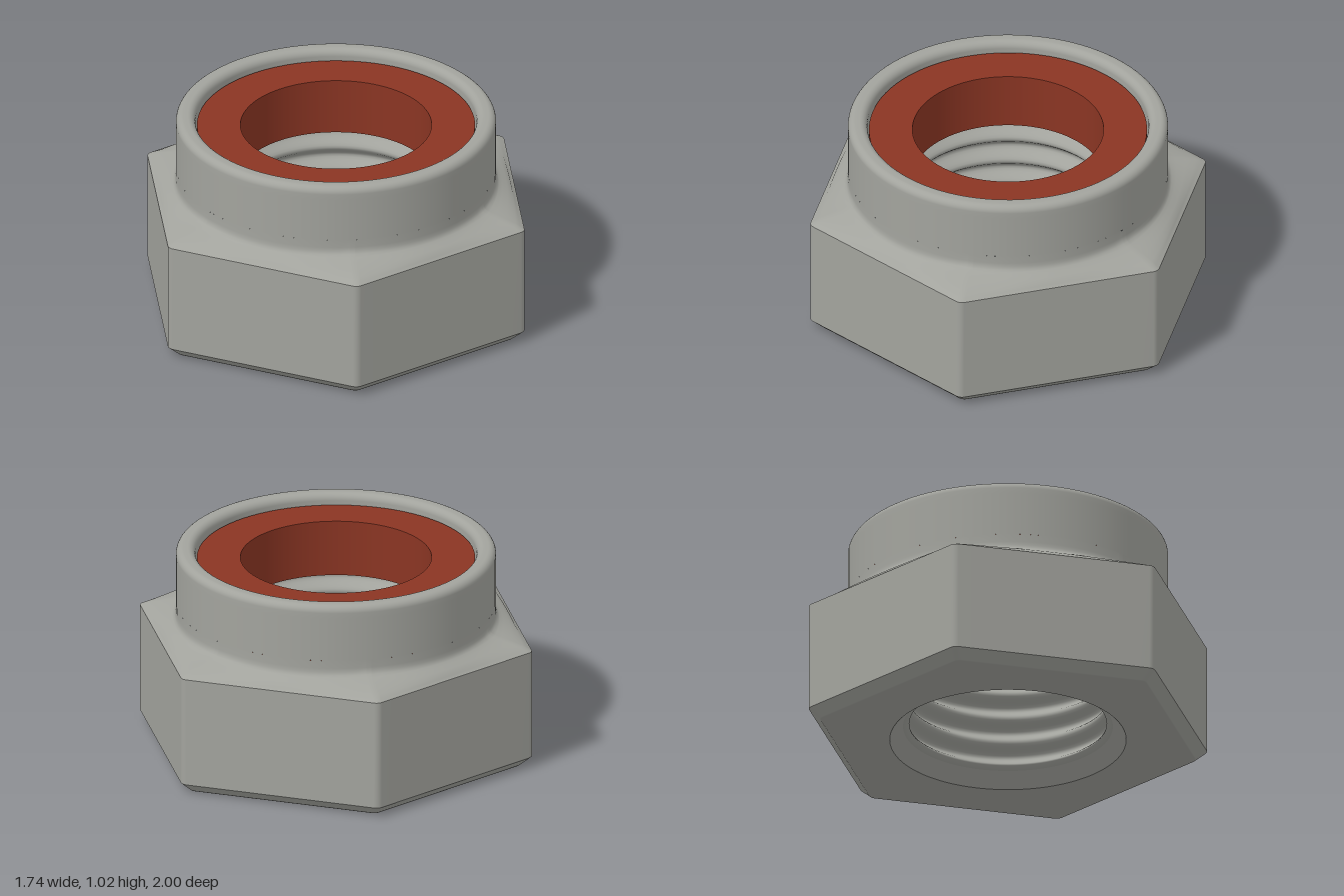
import * as THREE from 'three';

const APOTHEM = 0.871, FILLET = 0.04, COLLAR = 0.778;

// Hexagon outline with rounded corners, one corner on +z; each point is [x, z]
function hexOutline() {
  const pts = [];
  const centre = (APOTHEM - FILLET) / Math.cos(Math.PI / 6);
  const arc = 5, flat = 14;
  for (let k = 0; k < 6; k++) {
    const a = k * Math.PI / 3;
    const corner = (c, t) => [
      centre * Math.sin(c) + FILLET * Math.sin(c + t),
      centre * Math.cos(c) + FILLET * Math.cos(c + t)];
    for (let i = 0; i <= arc; i++) pts.push(corner(a, (i / arc - 0.5) * Math.PI / 3));
    const p = corner(a, Math.PI / 6), q = corner(a + Math.PI / 3, -Math.PI / 6);
    for (let i = 1; i < flat; i++) {
      const t = i / flat;
      pts.push([p[0] + (q[0] - p[0]) * t, p[1] + (q[1] - p[1]) * t]);
    }
  }
  return pts;
}
const HEX = hexOutline();

// Ring = { y, scale of hexagon, round: 0 hexagon .. 1 circle, r: circle radius }
function loft(rings) {
  const pos = [], idx = [], n = HEX.length;
  for (const { y, scale = 1, round = 0, r = COLLAR } of rings) {
    for (const [x, z] of HEX) {
      const k = r / Math.hypot(x, z);
      const s = scale + (k - scale) * round;
      pos.push(x * s, y, z * s);
    }
  }
  for (let j = 0; j < rings.length - 1; j++) {
    for (let i = 0; i < n; i++) {
      const a = j * n + i, b = j * n + (i + 1) % n;
      idx.push(a, b, b + n, a, b + n, a + n);
    }
  }
  const geo = new THREE.BufferGeometry();
  geo.setAttribute('position', new THREE.Float32BufferAttribute(pos, 3));
  geo.setIndex(idx);
  geo.computeVertexNormals();
  return geo;
}

const lathe = (pts) => new THREE.LatheGeometry(pts.map(([r, y]) => new THREE.Vector2(r, y)), 96);

export function createModel() {
  const steel = new THREE.MeshStandardMaterial({ color: 0xa2a39d });
  steel.name = 'grey steel';
  const nylon = new THREE.MeshStandardMaterial({ color: 0x8a3523 });
  nylon.name = 'rust red nylon';

  const model = new THREE.Group();
  model.name = 'lockNut';
  const add = (name, geo, mat = steel) => {
    const mesh = new THREE.Mesh(geo, mat);
    mesh.name = name;
    model.add(mesh);
  };

  // Hexagonal body
  add('bottomFace', loft([
    { y: 0, round: 1, r: 0.575 }, { y: 0, scale: 0.9 }, { y: 0, scale: 0.94 },
    { y: 0.004, scale: 0.945 }, { y: 0.05 }]));
  add('hexSides', loft([{ y: 0.05 }, { y: 0.6 }]));

  // Shoulder blending from hexagon to round collar
  add('shoulder', loft([
    { y: 0.6 }, { y: 0.611, scale: 0.985, round: 0.04 }, { y: 0.622, round: 0.22 },
    { y: 0.636, round: 0.46 }, { y: 0.65, round: 0.7 }, { y: 0.659, round: 0.85 },
    { y: 0.668, round: 0.94 }, { y: 0.682, round: 0.985 }, { y: 0.7, round: 1 }, { y: 0.74, round: 1 }]));

  // Collar with rolled rim, ending on the seat wall of the insert
  const rim = [[COLLAR, 0.74], [COLLAR, 0.96]];
  for (const [cr, start] of [[COLLAR - 0.036, 0], [0.72, Math.PI / 2]]) {
    for (let i = 0; i <= 6; i++) {
      const a = start + i / 6 * Math.PI / 2;
      rim.push([cr + 0.036 * Math.cos(a), 0.989 + 0.036 * Math.sin(a)]);
    }
  }
  rim.push([0.684, 0.96], [0.684, 0.685]);
  add('collar', lathe(rim));
  add('insertSeat', lathe([[0.684, 0.685], [0.53, 0.685]]));

  // Threaded bore with a lead-in chamfer at the bottom
  const thread = [[0.53, 0.685]];
  const turns = 4.5, steps = 54, top = 0.66, bottom = 0.085;
  for (let i = 0; i <= steps; i++) {
    const t = i / steps;
    thread.push([0.507 + 0.027 * Math.cos(t * turns * Math.PI * 2), top + (bottom - top) * t]);
  }
  thread.push([0.51, 0.07]);
  add('thread', lathe(thread));
  add('boreChamfer', lathe([[0.51, 0.07], [0.575, 0]]));

  // Locking insert ring, one smooth strip per face
  const ring = [[0.676, 0.688], [0.676, 0.97], [0.465, 0.97], [0.465, 0.688], [0.676, 0.688]];
  const faces = ['insertOuterWall', 'insertTop', 'insertInnerWall', 'insertBottom'];
  faces.forEach((name, i) => add(name, lathe([ring[i], ring[i + 1]]), nylon));

  return model;
}
